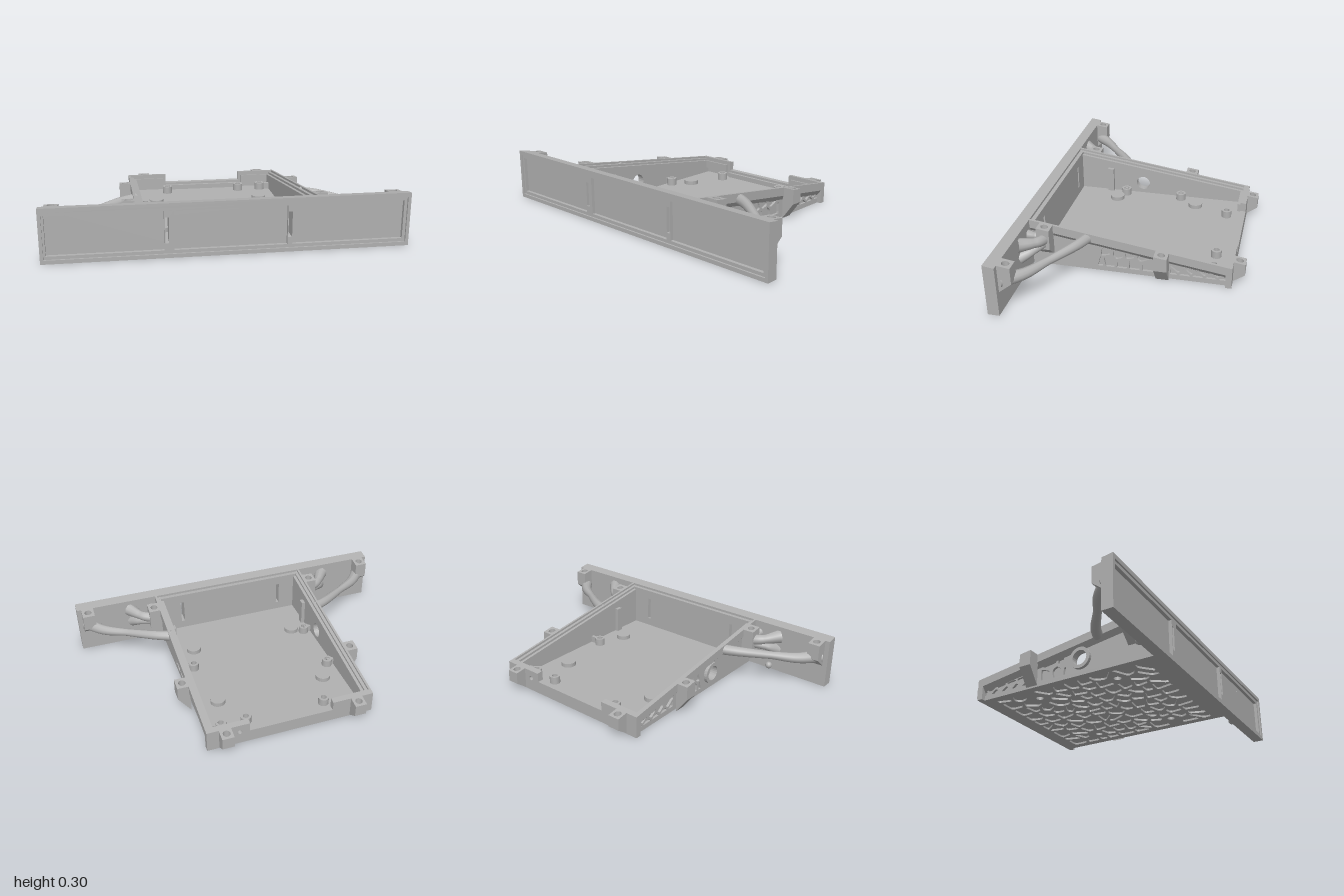
import * as THREE from 'three';

const grey = new THREE.MeshStandardMaterial({ color: 0xb0b0b0 });
grey.name = 'plain grey';

// Height of the sloping top plane at depth z
const top = z => 0.2125 + 0.1445 * z;
const V = (x, y, z) => new THREE.Vector3(x, y, z);

let seed = 7;
const rnd = () => (seed = (seed * 16807) % 2147483647) / 2147483647;

const poly = pts => new THREE.Shape(pts.map(p => new THREE.Vector2(p[0], p[1])));
const rect = (x0, y0, x1, y1) => poly([[x0, y0], [x1, y0], [x1, y1], [x0, y1]]);
const disc = (x, y, r) => new THREE.Shape().absarc(x, y, r, 0, Math.PI * 2, false);
const withHoles = (shape, holes) => { shape.holes.push(...holes); return shape; };
const extrude = (shape, depth) =>
  new THREE.ExtrudeGeometry(shape, { depth, bevelEnabled: false, curveSegments: 12 });

// Move the vertices of a geometry by a rule
function bend(geo, rule) {
  const p = geo.attributes.position, v = V(0, 0, 0);
  for (let i = 0; i < p.count; i++) {
    rule(v.fromBufferAttribute(p, i), i);
    p.setXYZ(i, v.x, v.y, v.z);
  }
  geo.computeVertexNormals();
  return geo;
}

// Voronoi pockets inside a convex outline, with ribs of the given width
function cells(outline, seeds, rib, skip = 0) {
  const clip = (pts, nx, ny, c) => {
    const out = [];
    pts.forEach((a, i) => {
      const b = pts[(i + 1) % pts.length];
      const da = nx * a[0] + ny * a[1] - c, db = nx * b[0] + ny * b[1] - c;
      if (da <= 0) out.push(a);
      if (da * db < 0) {
        const t = da / (da - db);
        out.push([a[0] + (b[0] - a[0]) * t, a[1] + (b[1] - a[1]) * t]);
      }
    });
    return out;
  };
  const result = [];
  seeds.slice(skip).forEach(s => {
    let pts = outline;
    seeds.forEach(o => {
      const dx = o[0] - s[0], dy = o[1] - s[1], d = Math.hypot(dx, dy);
      if (d < 1e-6 || pts.length < 3) return;
      const nx = dx / d, ny = dy / d;
      pts = clip(pts, nx, ny, nx * (s[0] + o[0]) / 2 + ny * (s[1] + o[1]) / 2 - rib / 2);
    });
    if (pts.length < 3 || Math.abs(THREE.ShapeUtils.area(pts.map(p => ({ x: p[0], y: p[1] })))) < 0.0004) return;
    // Round the corners
    const shape = new THREE.Shape(), n = pts.length;
    const mix = (a, b, t) => [a[0] + (b[0] - a[0]) * t, a[1] + (b[1] - a[1]) * t];
    shape.moveTo(...mix(pts[0], pts[1], 0.25));
    for (let i = 0; i < n; i++) {
      const a = pts[i], b = pts[(i + 1) % n], c = pts[(i + 2) % n];
      shape.lineTo(...mix(a, b, 0.75));
      shape.quadraticCurveTo(b[0], b[1], ...mix(b, c, 0.25));
    }
    result.push(poly(shape.getPoints(3).slice(0, -1).map(p => [p.x, p.y])));
  });
  return result;
}

export function createModel() {
  const model = new THREE.Group();
  model.name = 'panelTray';
  const add = (name, geo) => {
    const mesh = new THREE.Mesh(geo, grey);
    mesh.name = name;
    model.add(mesh);
  };
  // Upright plate facing z, whose top edge follows the slope
  const plate = (name, shape, z0, z1) => add(name, bend(
    extrude(shape, z1 - z0).translate(0, 0, z0),
    v => { if (Math.abs(v.y - top(z0)) < 1e-4) v.y = top(v.z); }));
  // Horizontal slab drawn in x and z
  const slab = (shape, y0, y1) => extrude(shape, y1 - y0).rotateX(Math.PI / 2).translate(0, y1, 0);
  // Side plate drawn in z and y
  const side = (name, shape, x0, x1) =>
    add(name, extrude(shape, x1 - x0).rotateY(-Math.PI / 2).translate(x1, 0, 0));

  // Front panel: slotted back plate, three recesses, outer frame
  const slots = () => [rect(-0.347, 0.08, -0.327, 0.225), rect(0.318, 0.08, 0.34, 0.225)];
  plate('panelBack', withHoles(rect(-1, 0, 1, top(0.575)), slots()), 0.575, 0.61);
  plate('panelRecesses', withHoles(rect(-1, 0, 1, top(0.61)), [
    rect(-0.97, 0.04, -0.352, 0.26), rect(-0.3, 0.04, 0.315, 0.26),
    rect(0.344, 0.04, 0.965, 0.26), ...slots()]), 0.61, 0.63);
  plate('panelFrame', withHoles(rect(-1, 0, 1, top(0.63)), [rect(-0.982, 0.022, 0.982, 0.28)]), 0.63, 0.64);

  // Floor: solid skin over a lattice with four round sockets
  const feet = [[-0.335, -0.245], [0.335, -0.245], [-0.335, 0.28], [0.335, 0.28]];
  const sockets = () => feet.map(f => disc(f[0], f[1], 0.022));
  const seeds = [...feet];
  for (let i = 0; i < 10; i++) for (let j = 0; j < 11; j++) {
    const p = [-0.39 + i * 0.087 + (rnd() - 0.5) * 0.065, -0.44 + j * 0.09 + (rnd() - 0.5) * 0.065];
    if (feet.every(f => Math.hypot(f[0] - p[0], f[1] - p[1]) > 0.062)) seeds.push(p);
  }
  const floorCells = cells([[-0.43, -0.49], [0.43, -0.49], [0.43, 0.51], [-0.43, 0.51]], seeds, 0.018, 4);
  add('floorSkin', slab(withHoles(rect(-0.475, -0.575, 0.475, 0.575), sockets()), 0.012, 0.03));
  add('floorLattice', slab(withHoles(rect(-0.475, -0.575, 0.475, 0.575), [...sockets(), ...floorCells]), 0, 0.012));
  feet.forEach(f => add('floorPad', slab(disc(f[0], f[1], 0.045), 0.03, 0.055)));

  // Screw pegs and wall nubs
  [[-0.245, -0.46], [0.235, -0.46], [0.385, -0.465], [0.385, 0.1], [-0.41, -0.135], [-0.405, 0.235]].forEach(
    ([x, z]) => {
      add('screwPeg', slab(withHoles(disc(x, z, 0.031), [disc(x, z, 0.017)]), 0.03, 0.075));
      if (Math.abs(x) > 0.3) {
        const w = Math.sign(x);
        add('pegBridge', new THREE.BoxGeometry(0.05, 0.04, 0.02).translate(w * 0.435, 0.05, z));
      }
    });

  // Screw boss: bored block on a wedge; turn gives the outward direction
  const boss = (name, x, z, h, y0, y1, turn) => {
    add(name, bend(slab(withHoles(rect(x - h, z - h, x + h, z + h), [disc(x, z, 0.021)]), y1, 1),
      v => { if (v.y > 0.9) v.y = top(v.z); }));
    add(name + 'Wedge', extrude(poly([[-h, y0], [h, y1], [-h, y1]]), 2 * h)
      .translate(0, 0, -h).rotateY(turn).translate(x, 0, z));
  };
  // Organic limb: tube whose radius runs from r0 through r1 to r2
  const limb = (name, pts, r0, r1, r2) => {
    const path = new THREE.CatmullRomCurve3(pts), n = 20, k = 12;
    const geo = new THREE.TubeGeometry(path, n, 1, k);
    add(name, bend(geo, (v, i) => {
      const t = Math.floor(i / (k + 1)) / n, c = path.getPointAt(t);
      const r = t < 0.5 ? r0 + (r1 - r0) * t * 2 : r1 + (r2 - r1) * (t * 2 - 1);
      v.sub(c).multiplyScalar(r).add(c);
    }));
  };

  for (const s of [1, -1]) {
    const turn = s > 0 ? 0 : Math.PI;
    const wall = () => poly([[-0.575, 0], [0.575, 0], [0.575, top(0.575) - 0.03], [-0.575, top(-0.575) - 0.03]]);

    // Side wall with pockets; the right wall also has a round port
    const port = s < 0 ? [disc(0.13, 0.1, 0.045)] : [];
    const z1 = s < 0 ? 0.04 : 0.19, big = [], small = [];
    for (let z = -0.11; z < z1; z += 0.072)
      big.push([z + rnd() * 0.02, 0.05 + rnd() * 0.015], [z + 0.03 + rnd() * 0.02, 0.115 + rnd() * 0.02]);
    for (let i = 0; i < 9; i++) small.push([-0.24 - i * 0.037, 0.05 + (i % 2 ? 0.022 : -0.022)]);
    const pockets = [
      ...cells([[-0.14, 0.02], [z1, 0.02], [z1 - 0.03, 0.15], [-0.14, 0.115]], big, 0.014),
      ...cells([[-0.55, 0.02], [-0.23, 0.02], [-0.23, 0.092], [-0.55, 0.062]], small, 0.012)];
    const at = (a, b) => s > 0 ? [a, b] : [-b, -a];
    side('sideWallSkin', withHoles(wall(), port), ...at(0.45, 0.46));
    side('sideWallLattice', withHoles(wall(), [...port, ...pockets]), ...at(0.46, 0.475));
    if (s < 0) side('portRing', withHoles(disc(0.13, 0.1, 0.065), [disc(0.13, 0.1, 0.045)]), -0.495, -0.475);

    // Overhanging stepped rim
    const rim = [[0.47, -0.085], [0.5, -0.05], [0.5, 0], [0.487, 0], [0.487, -0.012], [0.468, -0.012],
      [0.468, -0.025], [0.45, -0.025], [0.45, -0.03], [0.47, -0.03]].map(p => [s * p[0], p[1]]);
    add('sideRim', bend(extrude(poly(rim), 1.155).translate(0, 0, -0.58), v => { v.y += top(v.z); }));
    add('wallNub', new THREE.BoxGeometry(0.025, 0.16, 0.04).translate(s * 0.44, 0.11, 0.35));

    // Bosses
    boss('sideBoss', s * 0.53, -0.19, 0.037, 0, 0.1, turn);
    boss('frontBoss', s * 0.53, 0.475, 0.037, 0.09, 0.155, turn);
    boss('rearBoss', s * 0.395, -0.61, 0.035, 0, 0.05, Math.PI / 2);
    boss('panelBoss', s * 0.935, 0.54, 0.037, 0.13, 0.19, Math.PI / 2);

    // Struts and braces from tray to panel
    limb('longStrut', [V(s * 0.48, 0.212, 0.24), V(s * 0.56, 0.21, 0.275), V(s * 0.73, 0.195, 0.39),
      V(s * 0.86, 0.185, 0.48), V(s * 0.95, 0.19, 0.58)], 0.032, 0.023, 0.04);
    limb('upperBrace', [V(s * 0.53, 0.21, 0.47), V(s * 0.6, 0.22, 0.495), V(s * 0.67, 0.23, 0.585)], 0.035, 0.028, 0.042);
    limb('lowerBrace', [V(s * 0.54, 0.19, 0.475), V(s * 0.62, 0.17, 0.52), V(s * 0.66, 0.14, 0.585)], 0.03, 0.022, 0.035);
    limb('innerBrace', [V(s * 0.5, 0.2, 0.5), V(s * 0.52, 0.21, 0.54), V(s * 0.53, 0.22, 0.585)], 0.028, 0.02, 0.03);
    add('panelNub', new THREE.SphereGeometry(0.022, 12, 8).translate(s * 0.62, 0.022, 0.57));

    // Rear rim steps beside the notch
    add('rearStep', bend(new THREE.BoxGeometry(0.2, 0.05, 0.02).translate(s * 0.37, -0.05, -0.535),
      v => { v.y += top(v.z); }));
  }

  // Front tray wall behind the panel
  plate('frontWall', withHoles(rect(-0.475, 0, 0.475, top(0.55) - 0.01), slots()), 0.55, 0.575);

  // Rear wall with wide notch and a small cable hole
  const t = top(-0.58);
  plate('rearWall', withHoles(poly([[-0.5, 0], [0.5, 0], [0.5, t], [0.25, t], [0.25, 0.075],
    [-0.25, 0.075], [-0.25, t], [-0.5, t]]), [disc(0.31, 0.08, 0.014)]), -0.58, -0.545);
  add('notchSill', new THREE.BoxGeometry(0.5, 0.06, 0.02).translate(0, 0.03, -0.538));
  return model;
}
